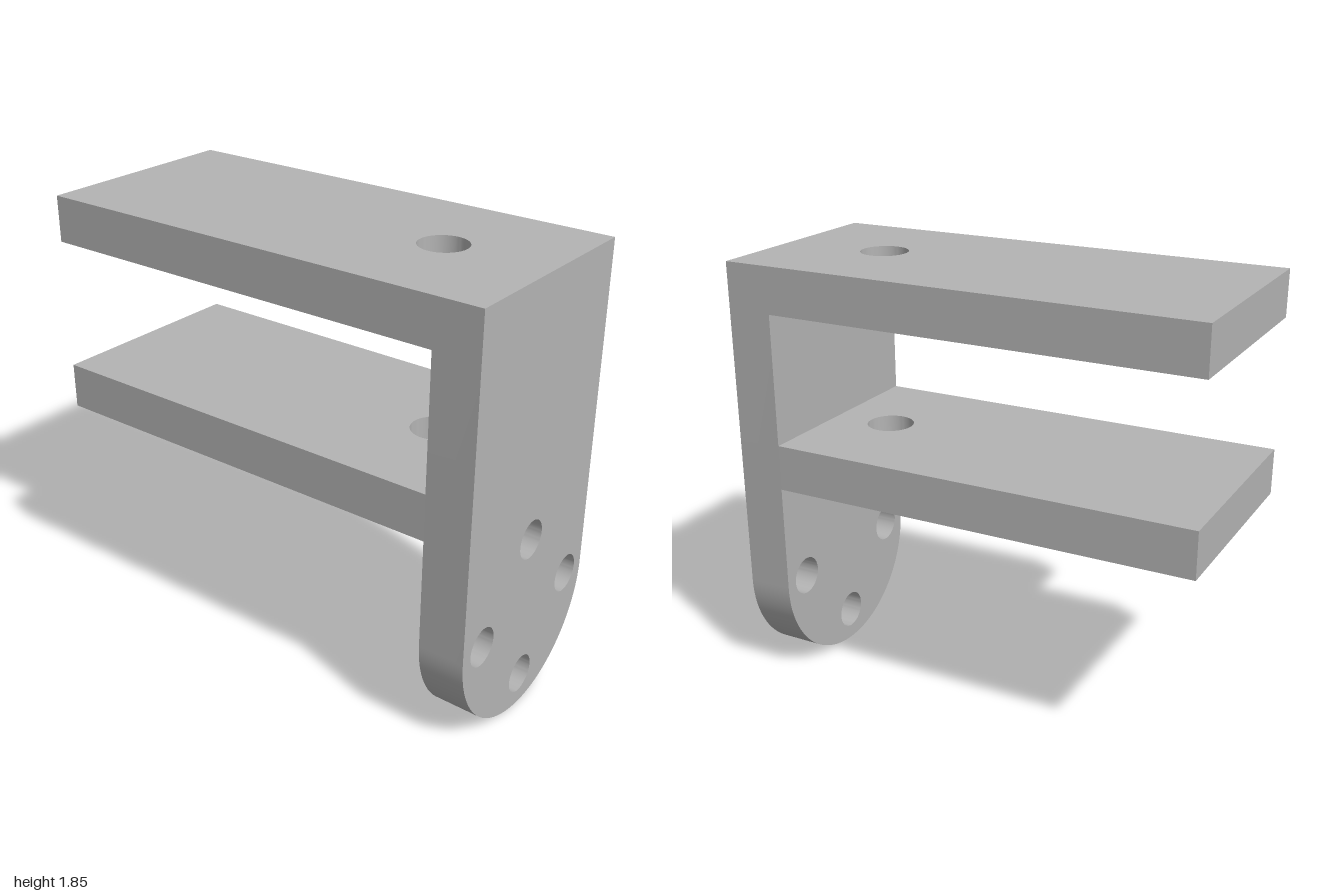
import * as THREE from 'three';
import { toCreasedNormals } from 'three/addons/utils/BufferGeometryUtils.js';

const HALF = 0.45, HEIGHT = 1.845, THICK = 0.193, BACK = 1 - THICK;

function drill(shape, x, y, r) {
  const hole = new THREE.Path();
  hole.absarc(x, y, r, 0, Math.PI * 2, true);
  shape.holes.push(hole);
}

function plate(shape, depth) {
  const geo = new THREE.ExtrudeGeometry(shape, { depth, bevelEnabled: false, curveSegments: 32 });
  return toCreasedNormals(geo, 0.6);
}

export function createModel() {
  const group = new THREE.Group();
  group.name = 'bracket';
  const metal = new THREE.MeshStandardMaterial({ color: 0xb4b4b4 });
  metal.name = 'grey metal';

  // Upright front plate with a round lower end and four bolt holes
  const front = new THREE.Shape();
  front.moveTo(-HALF, HEIGHT);
  front.lineTo(-HALF, HALF);
  front.absarc(0, HALF, HALF, Math.PI, Math.PI * 2, false);
  front.lineTo(HALF, HEIGHT);
  front.closePath();
  for (const [x, y] of [[0, 0.77], [0, 0.14], [-0.317, 0.455], [0.317, 0.455]]) drill(front, x, y, 0.081);
  const frontPlate = new THREE.Mesh(plate(front, THICK), metal);
  frontPlate.name = 'frontPlate';
  frontPlate.position.z = BACK;
  group.add(frontPlate);

  // Two level arms, each with two holes; one side flares slightly to the back
  const arm = new THREE.Shape();
  arm.moveTo(-HALF, -BACK);
  arm.lineTo(HALF, -BACK);
  arm.lineTo(HALF, 1);
  arm.lineTo(-HALF - 0.006, 1);
  arm.closePath();
  for (const z of [-0.34, 0.55]) drill(arm, 0, -z, 0.099);
  const armGeo = plate(arm, THICK).rotateX(-Math.PI / 2);
  for (const [name, top] of [['upperArm', HEIGHT], ['lowerArm', 1.102]]) {
    const mesh = new THREE.Mesh(armGeo, metal);
    mesh.name = name;
    mesh.position.y = top - THICK;
    group.add(mesh);
  }
  return group;
}
